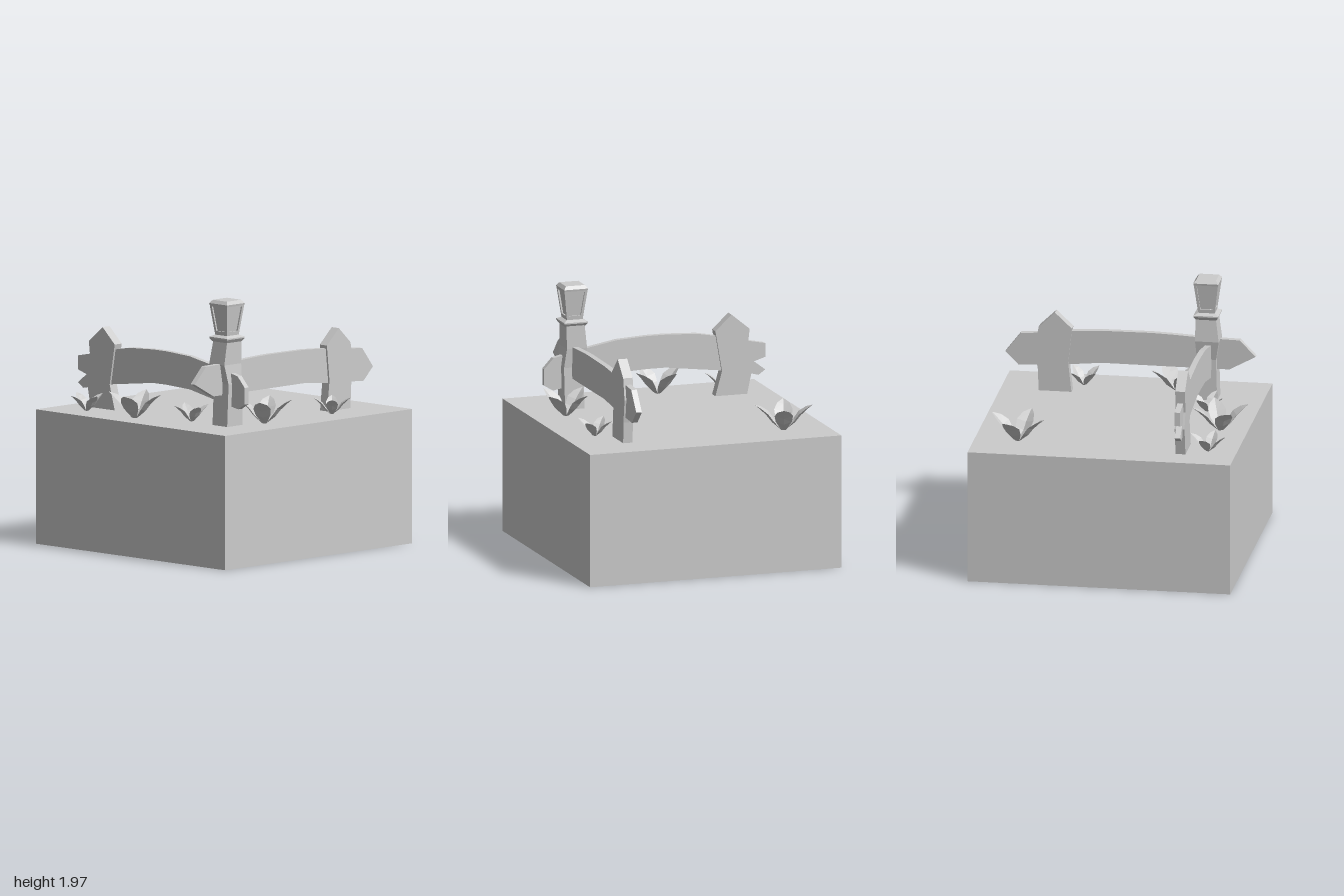
import * as THREE from 'three';

const flat = new THREE.MeshStandardMaterial({ color: 0xcccccc, flatShading: true });
const leafMat = new THREE.MeshStandardMaterial({ color: 0xcccccc, flatShading: true, side: THREE.DoubleSide });

function mesh(name, geometry, material = flat) {
  const m = new THREE.Mesh(geometry, material);
  m.name = name;
  return m;
}

// Flat board cut from an outline, centred on its thickness
function board(name, outline, thickness) {
  const shape = new THREE.Shape(outline.map(([x, y]) => new THREE.Vector2(x, y)));
  const g = new THREE.ExtrudeGeometry(shape, { depth: thickness, bevelEnabled: false });
  g.translate(0, 0, -thickness / 2);
  return mesh(name, g);
}

// Closed solid through rectangular sections [y, x0, x1, z0, z1]
function loft(sections) {
  const rings = sections.map(([y, x0, x1, z0, z1]) => [[x0, y, z1], [x1, y, z1], [x1, y, z0], [x0, y, z0]]);
  const pos = [];
  const quad = (a, b, c, d) => pos.push(...a, ...b, ...c, ...a, ...c, ...d);
  for (let i = 0; i < rings.length - 1; i++) {
    for (let k = 0; k < 4; k++) {
      const n = (k + 1) % 4;
      quad(rings[i][k], rings[i][n], rings[i + 1][n], rings[i + 1][k]);
    }
  }
  const [a, b, c, d] = rings[0];
  quad(d, c, b, a);
  quad(...rings[rings.length - 1]);
  const g = new THREE.BufferGeometry();
  g.setAttribute('position', new THREE.Float32BufferAttribute(pos, 3));
  g.computeVertexNormals();
  return g;
}
const squareLoft = (list) => loft(list.map(([y, h]) => [y, -h, h, -h, h]));

// Lantern with four tapered, recessed windows
function createLantern() {
  const lantern = new THREE.Group();
  lantern.name = 'lantern';
  const half = (y) => 0.062 + ((y - 1.7) / 0.24) * 0.031;
  lantern.add(mesh('lanternCollar', squareLoft([[1.655, 0.077], [1.68, 0.094], [1.69, 0.094], [1.706, 0.062]])));
  lantern.add(mesh('lanternGlass', squareLoft([[1.7, half(1.7) - 0.013], [1.935, half(1.935) - 0.013]])));
  lantern.add(mesh('lanternCap', squareLoft([[1.93, half(1.93)], [1.945, 0.095], [1.97, 0.075]])));
  const trapezoid = (y0, y1, inset) => [
    [-half(y0) + inset, y0], [half(y0) - inset, y0], [half(y1) - inset, y1], [-half(y1) + inset, y1],
  ].map(([x, y]) => new THREE.Vector2(x, y));
  const shape = new THREE.Shape(trapezoid(1.7, 1.94, 0));
  shape.holes.push(new THREE.Path(trapezoid(1.735, 1.92, 0.02)));
  const g = new THREE.ExtrudeGeometry(shape, { depth: 0.014, bevelEnabled: false });
  const p = g.attributes.position;
  // Lean the frame to follow the taper
  for (let i = 0; i < p.count; i++) p.setZ(i, p.getZ(i) - 0.014 + half(p.getY(i)));
  g.computeVertexNormals();
  for (let k = 0; k < 4; k++) {
    const frame = mesh('lanternFrame', g);
    frame.rotation.y = (k * Math.PI) / 2;
    lantern.add(frame);
  }
  lantern.position.set(-0.572, 0, 0.596);
  return lantern;
}

// Cupped leaf pointing along +x, from rows [reach, height, half width, cup depth]
function leafGeometry() {
  const rows = [[0.015, 0, 0.018, 0], [0.075, 0.075, 0.06, 0.018], [0.115, 0.13, 0.07, 0.02],
    [0.17, 0.17, 0.046, 0.012], [0.22, 0.192, 0.004, 0]];
  const pos = [], index = [];
  rows.forEach(([r, y, w, cup], i) => {
    pos.push(r, y, -w, r + cup * 0.7, y - cup, 0, r, y, w);
    if (i === 0) return;
    for (let k = 0; k < 2; k++) {
      const a = (i - 1) * 3 + k, b = i * 3 + k;
      index.push(a, a + 1, b + 1, a, b + 1, b);
    }
  });
  const g = new THREE.BufferGeometry();
  g.setAttribute('position', new THREE.Float32BufferAttribute(pos, 3));
  g.setIndex(index);
  g.computeVertexNormals();
  return g;
}

export function createModel() {
  const model = new THREE.Group();
  model.name = 'fenceCorner';
  const top = 1.02;

  // Ground block
  const ground = mesh('groundBlock', new THREE.BoxGeometry(2, top, 2));
  ground.position.y = top / 2;
  model.add(ground);

  // Crooked lamp post
  model.add(mesh('lampPost', loft([
    [top, -0.655, -0.49, 0.525, 0.68], [1.34, -0.645, -0.5, 0.53, 0.685],
    [1.487, -0.67, -0.49, 0.505, 0.665], [1.665, -0.645, -0.49, 0.525, 0.67],
  ])));
  model.add(createLantern());

  // Front fence: rail and pointed picket
  const frontRail = board('frontRail', [
    [-0.94, 1.364], [-0.74, 1.255], [-0.3, 1.255], [0.23, 1.257], [0.46, 1.235], [0.73, 1.218], [0.865, 1.21],
    [0.965, 1.31], [0.85, 1.46], [0.72, 1.47], [0.46, 1.497], [0.23, 1.51], [-0.15, 1.513], [-0.3, 1.508],
    [-0.6, 1.493], [-0.82, 1.488],
  ], 0.045);
  frontRail.position.z = 0.598;
  const frontPicket = board('frontPicket', [
    [0.46, top], [0.71, top], [0.715, 1.18], [0.74, 1.355], [0.71, 1.52], [0.585, 1.64], [0.457, 1.52], [0.485, 1.25],
  ], 0.075);
  frontPicket.position.z = 0.598;

  // Side fence: arched rail with a split end, and its picket
  const sideRail = board('sideRail', [
    [0.82, 1.326], [0.746, 1.406], [0.505, 1.46], [0.238, 1.508], [0, 1.521], [-0.147, 1.521], [-0.4, 1.508],
    [-0.553, 1.48], [-0.75, 1.435], [-0.94, 1.396], [-0.94, 1.29], [-0.85, 1.262], [-0.94, 1.193], [-0.885, 1.155],
    [-0.81, 1.176], [-0.57, 1.214], [-0.4, 1.235], [-0.147, 1.267], [0, 1.267], [0.238, 1.257], [0.527, 1.2],
    [0.75, 1.157], [0.82, 1.2],
  ], 0.043);
  const sidePicket = board('sidePicket', [
    [-0.537, top], [-0.79, top], [-0.835, 1.23], [-0.79, 1.35], [-0.81, 1.52], [-0.665, 1.64], [-0.537, 1.52],
    [-0.59, 1.21],
  ], 0.075);
  for (const part of [sideRail, sidePicket]) {
    part.rotation.y = -Math.PI / 2;
    part.position.x = -0.588;
  }
  model.add(frontRail, frontPicket, sideRail, sidePicket);

  // Four-leaved plants: [x, z, scale, direction of the first leaf in x, z]
  const leaf = leafGeometry();
  const plants = [
    [0.67, -0.655, 1, 39, 13], [-0.79, -0.16, 0.97, 15, 38], [-0.31, 0.735, 0.95, 22, 32],
    [-0.78, -0.68, 0.64, 25, 6], [-0.62, 0.27, 0.64, 24, 10], [0.395, 0.75, 0.64, 20, 20],
  ];
  for (const [x, z, scale, dx, dz] of plants) {
    const plant = new THREE.Group();
    plant.name = 'plant';
    for (let k = 0; k < 4; k++) {
      const m = mesh('leaf', leaf, leafMat);
      m.rotation.y = Math.atan2(-dz, dx) + (k * Math.PI) / 2;
      plant.add(m);
    }
    plant.position.set(x, top, z);
    plant.scale.setScalar(scale);
    model.add(plant);
  }
  return model;
}
